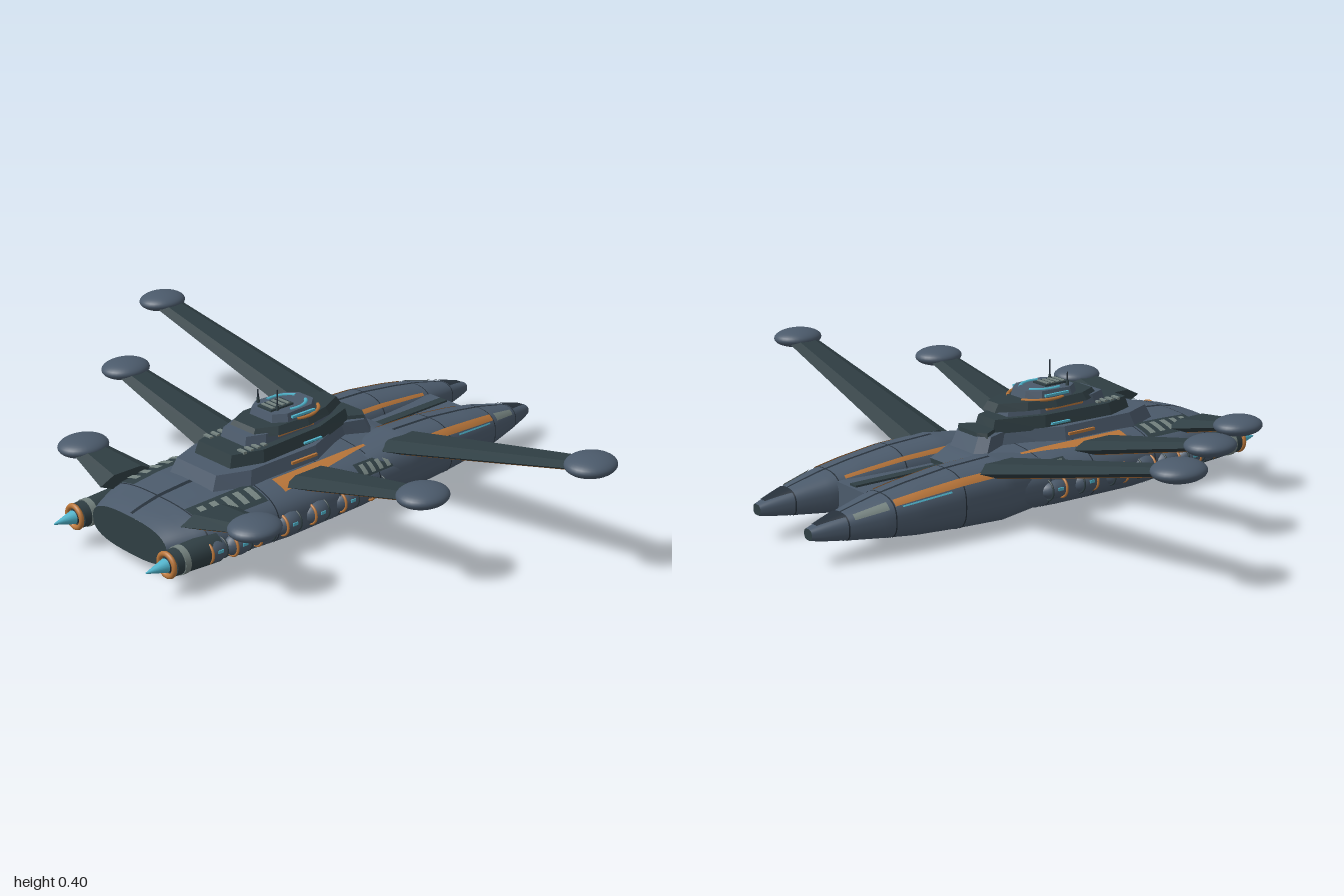
import * as THREE from 'three';

const material = (name, color, side = THREE.FrontSide) => {
  const m = new THREE.MeshStandardMaterial({ color, side });
  m.name = name;
  return m;
};

// Body profiles: [z, centre x, half width, bottom y, top y]
const HULL = [
  [-0.27, 0, 0.19, 0.05, 0.165], [-0.2, 0, 0.24, 0.02, 0.188], [0, 0, 0.25, 0.006, 0.2],
  [0.3, 0, 0.25, 0, 0.202], [0.5, 0, 0.242, 0.012, 0.195], [0.6, 0, 0.225, 0.02, 0.187],
  [0.67, 0, 0.19, 0.032, 0.172], [0.71, 0, 0.168, 0.042, 0.16],
];
const PRONG = [
  [-0.82, 0.136, 0.02, 0.077, 0.11], [-0.79, 0.137, 0.03, 0.07, 0.119], [-0.7, 0.139, 0.055, 0.057, 0.142],
  [-0.6, 0.14, 0.08, 0.045, 0.165], [-0.5, 0.142, 0.092, 0.033, 0.181], [-0.36, 0.144, 0.102, 0.024, 0.197],
  [-0.2, 0.145, 0.105, 0.016, 0.203], [-0.04, 0.14, 0.09, 0.03, 0.183],
];

// Point on a rounded section of a profile at z and angle u (0 = +x, PI/2 = up)
function surfacePoint(profile, z, u, lift) {
  let k = 0;
  while (k < profile.length - 2 && z > profile[k + 1][0]) k++;
  const a = profile[k], b = profile[k + 1], t = (z - a[0]) / (b[0] - a[0]);
  const [, cx, hw, bottom, top] = a.map((v, i) => v + (b[i] - v) * t);
  const cy = bottom + (top - bottom) * 0.48, c = Math.cos(u), s = Math.sin(u), e = 0.74;
  const h = s > 0 ? top - cy : cy - bottom;
  return [cx + Math.sign(c) * Math.abs(c) ** e * hw + c * lift, cy + Math.sign(s) * Math.abs(s) ** e * h + s * lift, z];
}

// Grid over part of a profile; angle range runs from uA (at z0) to uB (at z1)
function skin(profile, z0, z1, uA, uB = uA, lift = 0.003, nz = 12, nu = 8) {
  const pos = [], index = [];
  for (let i = 0; i <= nz; i++) {
    const t = i / nz, lo = uA[0] + (uB[0] - uA[0]) * t, hi = uA[1] + (uB[1] - uA[1]) * t;
    for (let j = 0; j <= nu; j++) {
      pos.push(...surfacePoint(profile, z0 + (z1 - z0) * t, lo + (hi - lo) * j / nu, lift));
      if (i < nz && j < nu) {
        const a = i * (nu + 1) + j, c = a + nu + 1;
        index.push(a, a + 1, c, a + 1, c + 1, c);
      }
    }
  }
  const g = new THREE.BufferGeometry();
  g.setAttribute('position', new THREE.Float32BufferAttribute(pos, 3));
  g.setIndex(index);
  g.computeVertexNormals();
  return g;
}
const AROUND = [-Math.PI / 2, Math.PI * 1.5];

// Flat end of a profile
function endCap(profile, z, lift = 0) {
  const pts = [];
  for (let j = 0; j < 48; j++) {
    const p = surfacePoint(profile, z, j / 48 * Math.PI * 2, lift);
    pts.push(new THREE.Vector2(p[0], p[1]));
  }
  return new THREE.ShapeGeometry(new THREE.Shape(pts)).translate(0, 0, z);
}

function mirrorX(geo) {
  const g = geo.clone().scale(-1, 1, 1);
  if (!g.index) g.setIndex([...Array(g.attributes.position.count).keys()]);
  const ix = g.index.array;
  for (let i = 0; i < ix.length; i += 3) [ix[i + 1], ix[i + 2]] = [ix[i + 2], ix[i + 1]];
  return g;
}

// Tapered six-sided bar along x; ends are [x, y, z, half height, half depth]
function bar(a, b) {
  const g = new THREE.CylinderGeometry(1, 1, 1, 6).rotateZ(-Math.PI / 2).toNonIndexed();
  const p = g.attributes.position;
  for (let i = 0; i < p.count; i++) {
    const e = p.getX(i) > 0 ? b : a;
    p.setXYZ(i, e[0], e[1] + p.getY(i) * e[3], e[2] + p.getZ(i) * e[4]);
  }
  g.computeVertexNormals();
  return g;
}

// Deck with a symmetric outline of [x, z] points, narrowing to the top
function deck(half, y0, y1, taper) {
  const pts = [...half, ...half.map(([x, z]) => [-x, z]).reverse()];
  const shape = new THREE.Shape(pts.map(([x, z]) => new THREE.Vector2(x, -z)));
  const g = new THREE.ExtrudeGeometry(shape, { depth: y1 - y0, bevelEnabled: false }).rotateX(-Math.PI / 2).translate(0, y0, 0);
  const zs = half.map((h) => h[1]), mid = (Math.min(...zs) + Math.max(...zs)) / 2, p = g.attributes.position;
  for (let i = 0; i < p.count; i++) {
    if (p.getY(i) > (y0 + y1) / 2) p.setXYZ(i, p.getX(i) * taper, p.getY(i), mid + (p.getZ(i) - mid) * (taper + 0.03));
  }
  g.computeVertexNormals();
  return g;
}

export function createModel() {
  const group = new THREE.Group();
  const hull = material('hull slate', 0x4b5a6b);
  const dark = material('dark plating', 0x2f3e43, THREE.DoubleSide);
  const seam = material('seam', 0x26303a, THREE.DoubleSide);
  const orange = material('orange trim', 0xb9763a, THREE.DoubleSide);
  const cyan = material('cyan glow', 0x4fb4cc, THREE.DoubleSide);
  const pale = material('pale grey', 0x74827f, THREE.DoubleSide);
  const add = (name, geo, mat) => {
    const m = new THREE.Mesh(geo, mat);
    m.name = name;
    group.add(m);
  };
  const pair = (name, geo, mat) => {
    add(name + 'Left', geo, mat);
    add(name + 'Right', mirrorX(geo), mat);
  };
  const box = (w, h, d, x, y, z) => new THREE.BoxGeometry(w, h, d).translate(x, y, z);
  const tube = (rFront, rBack, len, x, y, z, sides = 20) =>
    new THREE.CylinderGeometry(rFront, rBack, len, sides).rotateX(Math.PI / 2).translate(x, y, z);

  // Main hull and its dark front plate
  add('hull', skin(HULL, -0.27, 0.71, AROUND, AROUND, 0, 49, 64), hull);
  add('hullBackCap', endCap(HULL, -0.27).scale(1, 1, 1), dark);
  add('frontPlate', endCap(HULL, 0.71), dark);
  for (const z of [-0.05, 0.12, 0.36, 0.6]) add('hullSeam', skin(HULL, z, z + 0.004, AROUND, AROUND, 0.0015, 1, 64), seam);
  add('noseCentreSeam', skin(HULL, 0.48, 0.7, [1.56, 1.58], [1.56, 1.58], 0.0015), seam);

  // Twin tail prongs with trim
  pair('prong', skin(PRONG, -0.82, -0.04, AROUND, AROUND, 0, 39, 48), hull);
  pair('prongTip', endCap(PRONG, -0.82), dark);
  for (const z of [-0.72, -0.585, -0.36]) pair('prongSeam', skin(PRONG, z, z + 0.004, AROUND, AROUND, 0.0015, 1, 48), seam);
  pair('prongTopSeam', skin(PRONG, -0.8, -0.2, [1.55, 1.59], [1.55, 1.59], 0.0015, 30, 1), seam);
  pair('prongOuterStripe', skin(PRONG, -0.58, -0.19, [0.58, 0.95], [0.6, 0.9], 0.003, 20), orange);
  pair('prongInnerStripe', skin(PRONG, -0.56, -0.19, [2.3, 2.48], [2.3, 2.5], 0.003, 20), orange);
  pair('prongLight', skin(PRONG, -0.56, -0.4, [0.46, 0.53], [0.46, 0.53]), cyan);
  pair('prongPalePanel', skin(PRONG, -0.7, -0.6, [0.5, 0.95], [0.5, 0.95]), pale);
  pair('prongTipPanel', skin(PRONG, -0.8, -0.72, [1.25, 1.9], [0.95, 2.2]), seam);
  add('tailBridge', box(0.14, 0.09, 0.4, 0, 0.105, -0.39), hull);
  add('tailChannel', box(0.03, 0.008, 0.38, 0, 0.152, -0.39), dark);

  // Painted panels and ribs on the hull shoulders
  pair('shoulderPanel', skin(HULL, -0.08, 0.3, [1.05, 1.1], [0.7, 1.06], 0.003, 20), orange);
  pair('sternRibBacking', skin(HULL, -0.11, 0.03, [0.32, 0.72], [0.32, 0.72], 0.003), dark);
  pair('bowRibBacking', skin(HULL, 0.37, 0.6, [0.65, 1.16], [0.65, 1.16], 0.003), dark);
  for (let i = 0; i < 4; i++) pair('sternRib', skin(HULL, -0.1 + i * 0.033, -0.083 + i * 0.033, [0.38, 0.66], [0.38, 0.66], 0.007), pale);
  for (let i = 0; i < 5; i++) pair('bowRib', skin(HULL, 0.385 + i * 0.042, 0.407 + i * 0.042, [0.76, 1.08], [0.76, 1.08], 0.007), pale);

  // Three pairs of raised wings with flat oval pods: [tip x, tip y, tip z, root z]
  for (const [x, y, z, rz] of [[0.385, 0.215, 0.575, 0.57], [0.655, 0.285, 0.2, 0.185], [0.93, 0.352, -0.176, -0.195]]) {
    const a = [0.18, 0.175, rz, 0.026, 0.1], b = [x, y, z, 0.014, 0.052];
    pair('wing', bar(a, b), dark);
    for (const s of [-1, 1]) {
      const strip = (e) => [e[0], e[1] - e[3] * 0.86, e[2] + s * e[4] * 0.42, 0.003, e[4] * 0.08];
      pair('wingStripe', bar(strip(a), strip(b)), orange);
    }
    pair('wingPod', new THREE.SphereGeometry(1, 32, 20).scale(0.07, 0.03, 0.081).translate(x, y, z), hull);
  }

  // Forward thrusters
  const ex = 0.21, ey = 0.095;
  pair('thrusterBody', tube(0.038, 0.046, 0.16, ex, ey, 0.655), dark);
  pair('thrusterCollar', tube(0.042, 0.042, 0.02, ex, ey, 0.7), pale);
  pair('thrusterRing', new THREE.TorusGeometry(0.033, 0.008, 10, 28).translate(ex, ey, 0.745), orange);
  pair('thrusterNeck', tube(0.015, 0.024, 0.025, ex, ey, 0.745), seam);
  pair('thrusterCone', tube(0.002, 0.021, 0.068, ex, ey, 0.784), cyan);

  // Chain of side pods
  [0.59, 0.51, 0.42, 0.32, 0.21, 0.09, -0.03].forEach((z, i) => {
    const x = i === 0 ? 0.226 : 0.238, r = i === 6 ? 0.03 : 0.036;
    pair('sidePod', new THREE.SphereGeometry(1, 20, 14).scale(0.034, r, 0.05).translate(x, ey, z), hull);
    pair('sidePodRing', new THREE.TorusGeometry(0.031, 0.004, 8, 24).translate(x, ey, z + 0.026), orange);
    pair('sidePodBand', new THREE.TorusGeometry(0.031, 0.003, 8, 24).translate(x, ey, z - 0.026), dark);
    pair('sidePodLight', box(0.006, 0.009, 0.018, x + 0.032, ey + 0.006, z), cyan);
  });

  // Stepped command tower
  add('towerBase', deck([[0.06, -0.2], [0.09, -0.17], [0.06, -0.09], [0.14, 0.1], [0.145, 0.38], [0.1, 0.49]], 0.17, 0.235, 0.88), hull);
  add('towerLowerDeck', deck([[0.045, -0.11], [0.1, 0.05], [0.115, 0.3], [0.08, 0.4]], 0.23, 0.272, 0.92), dark);
  add('towerNeck', deck([[0.04, -0.05], [0.075, 0.05], [0.08, 0.26], [0.055, 0.32]], 0.268, 0.3, 0.92), hull);
  add('towerUpperDeck', deck([[0.03, -0.09], [0.075, 0.0], [0.095, 0.1], [0.09, 0.22], [0.055, 0.29]], 0.29, 0.314, 0.88), dark);
  add('towerTop', deck([[0.035, 0.02], [0.07, 0.06], [0.078, 0.17], [0.05, 0.21]], 0.31, 0.338, 0.9), hull);
  add('towerTailPlate', deck([[0.045, -0.17], [0.075, -0.15], [0.035, -0.08], [0.035, -0.04]], 0.23, 0.246, 0.95), dark);
  add('towerRoof', box(0.06, 0.008, 0.09, 0, 0.34, 0.15), dark);

  // Tower lights, trim and ribs
  const arc = (r, t) => new THREE.TorusGeometry(r, t, 6, 20, 1.5).rotateZ(-0.35).rotateX(-Math.PI / 2);
  pair('roofLightArc', arc(0.055, 0.005).scale(1, 1, 1.3).translate(0, 0.338, 0.115), cyan);
  pair('roofTrimArc', arc(0.082, 0.005).scale(1, 1, 1.2).translate(0, 0.314, 0.1), orange);
  pair('towerSideTrim', box(0.008, 0.007, 0.14, 0.078, 0.284, 0.14), orange);
  pair('towerSideLight', box(0.008, 0.007, 0.09, 0.078, 0.326, 0.11), cyan);
  pair('towerLowerLight', box(0.008, 0.006, 0.07, 0.109, 0.246, 0.1), cyan);
  pair('towerBaseTrim', box(0.008, 0.008, 0.1, 0.136, 0.213, 0.16), orange);
  for (let i = 0; i < 4; i++) {
    pair('towerRib', box(0.03, 0.008, 0.012, 0.075, 0.273, 0.27 + i * 0.026), pale);
    add('roofRib', box(0.05, 0.006, 0.01, 0, 0.344, 0.12 + i * 0.02), pale);
  }

  // Antennas
  for (const [x, top] of [[-0.055, 0.38], [0.03, 0.402]]) {
    add('antenna', new THREE.CylinderGeometry(0.002, 0.003, top - 0.33, 8).translate(x, (top + 0.33) / 2, 0.17), seam);
    add('antennaFoot', new THREE.CylinderGeometry(0.004, 0.006, 0.02, 8).translate(x, 0.345, 0.17), dark);
  }
  return group;
}
